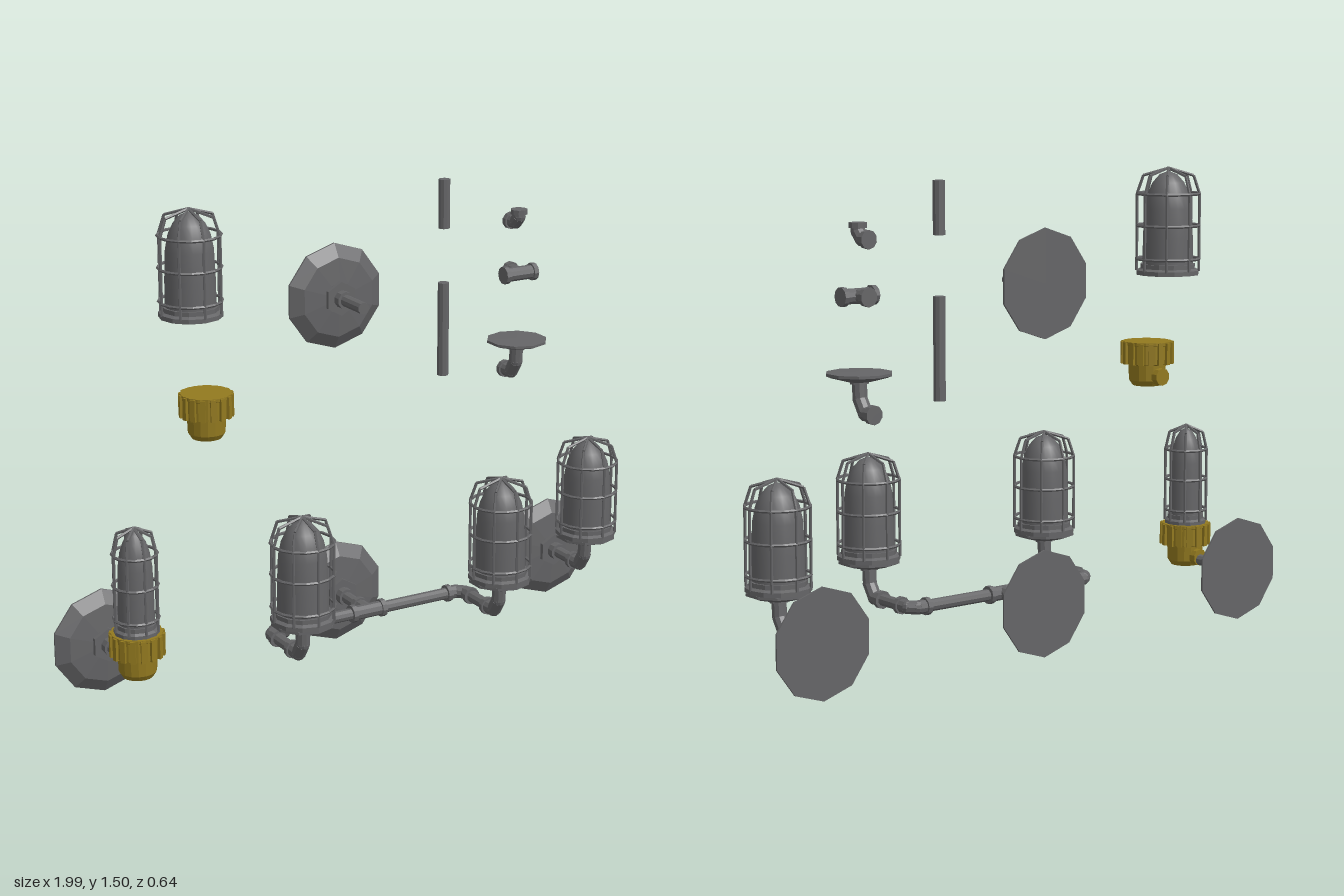
import * as THREE from 'three';

const iron = new THREE.MeshStandardMaterial({ color: 0x656567, flatShading: true });
iron.name = 'iron';
const glassGrey = new THREE.MeshStandardMaterial({ color: 0x656567 });
glassGrey.name = 'smoked glass';
const brass = new THREE.MeshStandardMaterial({ color: 0x92791f, flatShading: true });
brass.name = 'brass';

const V = (x, y, z) => new THREE.Vector3(x, y, z);

function add(parent, name, geo, mat, x = 0, y = 0, z = 0) {
  const m = new THREE.Mesh(geo, mat);
  m.name = name;
  m.position.set(x, y, z);
  parent.add(m);
  return m;
}

function group(parent, name, x, y, z) {
  const g = new THREE.Group();
  g.name = name;
  g.position.set(x, y, z);
  parent.add(g);
  return g;
}

function lathe(pts, sides) {
  return new THREE.LatheGeometry(pts.map(p => new THREE.Vector2(p[0], p[1])), sides);
}

// Straight round bar between two points
function bar(parent, name, a, b, r, mat = iron, sides = 10) {
  const d = b.clone().sub(a);
  const m = add(parent, name, new THREE.CylinderGeometry(r, r, d.length(), sides), mat);
  m.position.copy(a).addScaledVector(d, 0.5);
  m.quaternion.setFromUnitVectors(V(0, 1, 0), d.normalize());
  return m;
}

// Elbow through four points, with a thicker collar on both ends
function elbow(parent, name, pts, r = 0.022, mat = iron) {
  const g = group(parent, name, 0, 0, 0);
  for (let i = 0; i < 3; i++) bar(g, 'elbowSegment', pts[i], pts[i + 1], r, mat);
  for (let i = 1; i < 3; i++)
    add(g, 'elbowJoint', new THREE.SphereGeometry(r, 10, 6), mat, pts[i].x, pts[i].y, pts[i].z);
  [[0, 1], [3, 2]].forEach(([a, b]) => {
    const dir = pts[b].clone().sub(pts[a]).setLength(0.016);
    bar(g, 'elbowCollar', pts[a], pts[a].clone().add(dir), r + 0.006, mat);
  });
  return g;
}

// Caged lamp, standing on its base ring; s scales its radius
function lamp(parent, name, x, y, z, s = 1) {
  const g = group(parent, name, x, y, z);
  add(g, 'lampBase', lathe([[0, 0], [0.1 * s, 0], [0.1 * s, 0.014], [0.088 * s, 0.02],
    [0.088 * s, 0.034], [0, 0.034]], 12), iron);
  add(g, 'glassDome', lathe([[0.08, 0.03], [0.079, 0.12], [0.075, 0.21], [0.066, 0.255],
    [0.05, 0.29], [0.028, 0.315], [0, 0.326]].map(p => [p[0] * s, p[1]]), 20), glassGrey);
  for (const h of [0.05, 0.155, 0.255]) {
    const ring = add(g, 'cageRing', new THREE.TorusGeometry(0.098 * s, 0.005, 5, 16), iron, 0, h, 0);
    ring.rotation.x = Math.PI / 2;
  }
  const side = [[0.098, 0.012], [0.098, 0.255], [0.079, 0.312], [0, 0.335]];
  for (let i = 0; i < 8; i++) {
    const a = i * Math.PI / 4;
    const p = side.map(([r, h]) => V(Math.cos(a) * r * s, h, Math.sin(a) * r * s));
    for (let k = 0; k < 3; k++) bar(g, 'cageBar', p[k], p[k + 1], 0.0048, iron, 5);
  }
  return g;
}

// Round flange with an elbow below that turns to the back
function fitter(parent, name, x, y, z) {
  const g = group(parent, name, x, y, z);
  add(g, 'flange', lathe([[0, -0.028], [0.04, -0.028], [0.085, -0.016], [0.1, -0.01],
    [0.1, -0.002], [0, 0]], 10), iron);
  elbow(g, 'fitterElbow', [V(0, -0.02, 0), V(0, -0.08, -0.004), V(0, -0.12, -0.03), V(0, -0.12, -0.075)], 0.023);
  return g;
}

// Ribbed brass socket, origin at its top
function socket(parent, name, x, y, z) {
  const g = group(parent, name, x, y, z);
  add(g, 'socketCup', lathe([[0, -0.142], [0.047, -0.142], [0.058, -0.125], [0.06, -0.075],
    [0.077, -0.07], [0.077, -0.012], [0.08, -0.01], [0.08, 0], [0, 0]], 16), brass);
  for (let i = 0; i < 16; i++) {
    const a = (i + 0.5) * Math.PI / 8;
    const rib = add(g, 'socketRib', new THREE.BoxGeometry(0.016, 0.07, 0.014), brass,
      Math.sin(a) * 0.078, -0.037, Math.cos(a) * 0.078);
    rib.rotation.y = a;
  }
  bar(g, 'socketInlet', V(0, -0.11, -0.03), V(0, -0.11, -0.075), 0.028, brass);
  return g;
}

// Wall plate with hex nut and a pipe reaching to z = end
function wallPlate(parent, name, x, y, end) {
  const g = group(parent, name, x, y, 0);
  const plate = add(g, 'plate', lathe([[0, -0.218], [0.17, -0.218], [0.17, -0.212],
    [0.128, -0.186], [0.05, -0.18], [0, -0.18]], 10), iron);
  plate.rotation.x = Math.PI / 2;
  bar(g, 'hexNut', V(0, 0, -0.19), V(0, 0, -0.166), 0.055, iron, 6);
  bar(g, 'pipeCollar', V(0, 0, -0.17), V(0, 0, -0.14), 0.028);
  bar(g, 'wallPipe', V(0, 0, -0.18), V(0, 0, end), 0.019);
  return g;
}

// Tee fitting along x with a branch to the back
function tee(parent, name, x, y, z) {
  const g = group(parent, name, x, y, z);
  bar(g, 'teeBody', V(-0.06, 0, 0), V(0.06, 0, 0), 0.023);
  for (const s of [-1, 1]) bar(g, 'teeCollar', V(s * 0.045, 0, 0), V(s * 0.061, 0, 0), 0.029);
  bar(g, 'teeBranch', V(0, 0, 0), V(0, 0, -0.055), 0.023);
  bar(g, 'teeCollar', V(0, 0, -0.042), V(0, 0, -0.058), 0.029);
  return g;
}

export function createModel() {
  const root = new THREE.Group();
  root.name = 'wallLampSet';
  const Y = 0.177;

  // Double lamp in the middle
  const twin = group(root, 'doubleLamp', 0, 0, 0);
  wallPlate(twin, 'wallPlate', 0, Y, -0.01);
  tee(twin, 'tee', 0, Y, -0.01);
  bar(twin, 'crossPipe', V(-0.32, Y, -0.01), V(0.32, Y, -0.01), 0.019);
  for (const s of [-1, 1]) {
    const x = s * 0.357;
    elbow(twin, 'armElbow', [V(s * 0.295, Y, -0.01), V(s * 0.335, Y, -0.01), V(x, Y, 0.012), V(x, Y, 0.055)]);
    bar(twin, 'armPipe', V(x, Y, 0.05), V(x, Y, 0.15), 0.019);
    fitter(twin, 'fitter', x, Y + 0.12, 0.215);
    lamp(twin, 'lamp', x, 0.295, 0.215);
  }

  // Single lamp on the model's left
  const single = group(root, 'singleLamp', 0.832, 0, 0);
  wallPlate(single, 'wallPlate', 0, Y, -0.05);
  fitter(single, 'fitter', 0, Y + 0.12, 0.012);
  lamp(single, 'lamp', 0, 0.295, 0.012);

  // Slim lamp in a brass socket on the model's right
  const slim = group(root, 'slimLamp', -0.832, 0, 0);
  wallPlate(slim, 'wallPlate', 0, Y, 0.02);
  socket(slim, 'socket', 0, 0.295, 0.04);
  lamp(slim, 'lamp', 0, 0.292, 0.04, 0.7);

  // Loose parts above
  const loose = group(root, 'looseParts', 0, 0, 0);
  lamp(loose, 'looseLamp', -0.5, 1.172, -0.22);
  socket(loose, 'looseSocket', -0.5, 0.952, -0.128);
  wallPlate(loose, 'looseWallPlate', 0, 1.172, -0.03);
  bar(loose, 'shortPipe', V(0.41, 1.34, -0.222), V(0.41, 1.5, -0.222), 0.019);
  bar(loose, 'longPipe', V(0.41, 0.85, -0.222), V(0.41, 1.16, -0.222), 0.019);
  elbow(loose, 'looseElbow', [V(0.66, 1.385, -0.165), V(0.66, 1.36, -0.165),
    V(0.66, 1.338, -0.185), V(0.66, 1.338, -0.22)]);
  tee(loose, 'looseTee', 0.66, 1.172, -0.16);
  fitter(loose, 'looseFitter', 0.66, 0.952, -0.165);
  return root;
}
